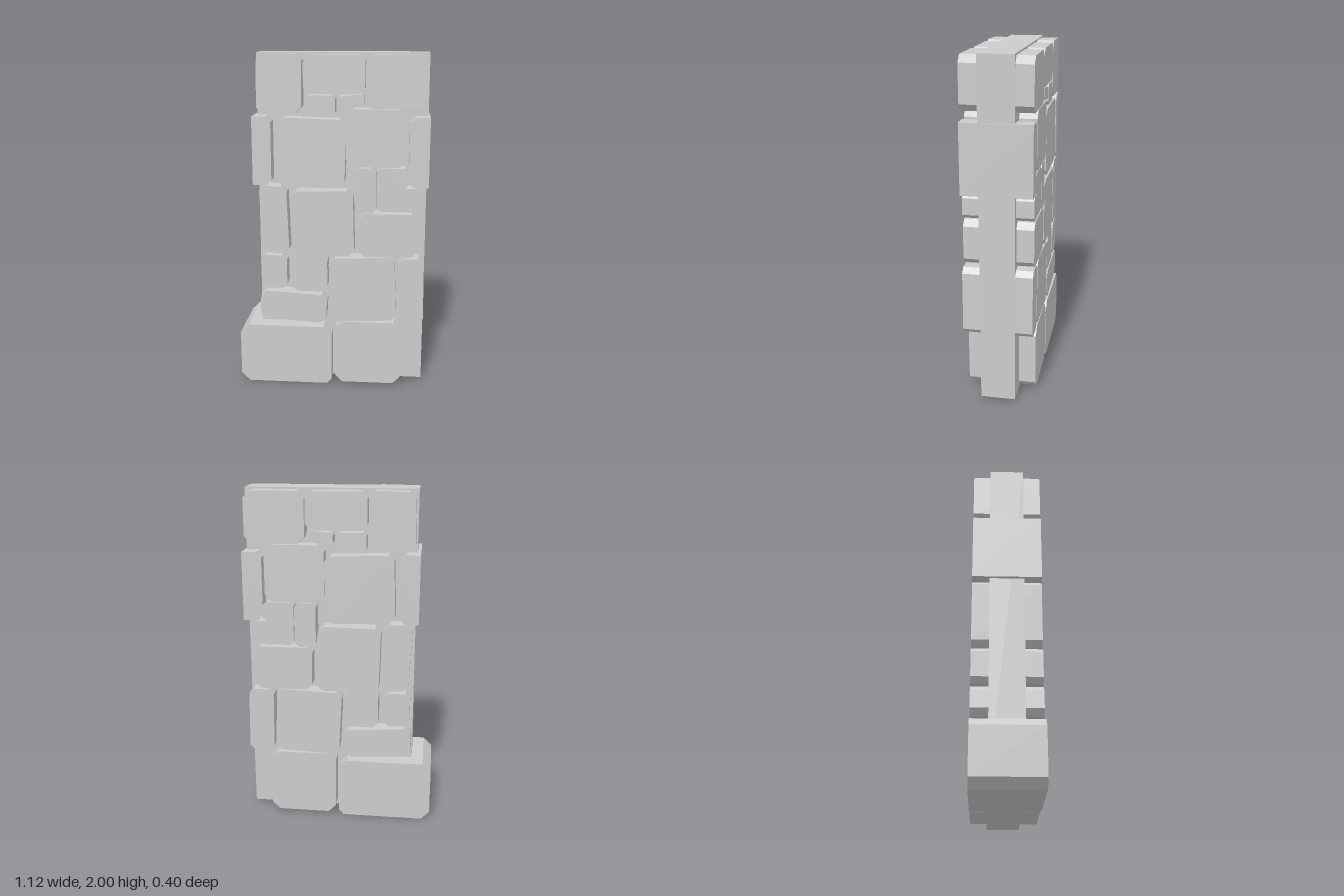
import * as THREE from 'three';

const DEPTH = 0.4;

// One stone: [left, right, bottom, top, chamfer, lean, tilt]
// lean shifts the top sideways, tilt raises the right side.
// chamfer is one size, or sizes for [bottom left, bottom right, top right, top left].
const footing = [
  ['footStone', -0.56, 0, 0, 0.37, [0.05, 0.03, 0.05, 0.05]],
  ['baseStone', 0.02, 0.42, 0.015, 0.41, 0.045],
];
const lowerCourse = [
  ['lowStone', -0.435, -0.035, 0.41, 0.585, 0.035, 0.01, -0.025],
  ['largeStone', 0, 0.39, 0.42, 0.815, 0.035, -0.018, 0.015],
  ['narrowStone', 0.4, 0.55, 0.415, 0.815, 0.03, -0.005],
  ['smallStone', -0.42, -0.265, 0.615, 0.82, 0.028, -0.003],
  ['smallStone', -0.235, -0.025, 0.6, 0.82, 0.03],
];
const middleCourse = [
  ['narrowStone', -0.41, -0.25, 0.835, 1.24, 0.03, -0.015, -0.006],
  ['largeStone', -0.235, 0.135, 0.82, 1.215, 0.035, -0.01, 0.006],
  ['blockStone', 0.16, 0.505, 0.825, 1.085, 0.035],
  ['smallStone', 0.135, 0.26, 1.09, 1.355, 0.025],
  ['smallStone', 0.265, 0.515, 1.1, 1.24, 0.022],
  ['smallStone', 0.265, 0.445, 1.24, 1.355, 0.02],
];
const upperCourse = [
  ['largeStone', -0.325, 0.075, 1.243, 1.635, 0.035, 0.012, -0.013],
  ['blockStone', 0.085, 0.43, 1.36, 1.69, 0.04],
  ['leftQuoin', -0.46, -0.35, 1.245, 1.645, [0, 0.03, 0.03, 0]],
  ['rightQuoin', 0.445, 0.56, 1.245, 1.645, [0.03, 0, 0, 0.03]],
];
const topCourse = [
  ['capStone', -0.43, -0.172, 1.663, 1.993, 0.035, 0.005, 0.004],
  ['capStone', -0.16, 0.19, 1.775, 1.99, 0.035],
  ['capStone', 0.195, 0.54, 1.695, 1.99, 0.04],
  ['chipStone', -0.155, 0.02, 1.65, 1.765, 0.02],
  ['chipStone', 0.033, 0.183, 1.7, 1.768, 0.012, 0, 0.018],
];

// Quadrilateral with its corners cut off, extruded through the wall
function stoneGeometry(x0, x1, y0, y1, chamfer, lean = 0, tilt = 0) {
  const h = tilt / 2;
  const corners = [
    [x0, y0 - h], [x1, y0 + h], [x1 + lean, y1 + h], [x0 + lean, y1 - h],
  ].map(([x, y]) => new THREE.Vector2(x, y));
  const points = [];
  corners.forEach((corner, i) => {
    const cut = Array.isArray(chamfer) ? chamfer[i] : chamfer;
    if (!cut) return points.push(corner);
    for (const neighbour of [corners[(i + 3) % 4], corners[(i + 1) % 4]]) {
      const toward = neighbour.clone().sub(corner).setLength(cut);
      points.push(toward.add(corner));
    }
  });
  const geometry = new THREE.ExtrudeGeometry(new THREE.Shape(points), {
    depth: DEPTH, bevelEnabled: false,
  });
  return geometry.translate(0, 0, -DEPTH / 2);
}

export function createModel() {
  const model = new THREE.Group();
  model.name = 'stoneWall';
  const material = new THREE.MeshStandardMaterial({ color: 0xcccccc, flatShading: true });

  // Flat slab behind the stones
  const core = new THREE.Mesh(new THREE.BoxGeometry(0.99, 1.985, 0.2), material);
  core.name = 'wallCore';
  core.position.set(0.055, 1.0075, 0);
  model.add(core);

  // Courses of stones, showing on both faces of the wall
  const courses = { footing, lowerCourse, middleCourse, upperCourse, topCourse };
  for (const [courseName, stones] of Object.entries(courses)) {
    const course = new THREE.Group();
    course.name = courseName;
    for (const [name, ...size] of stones) {
      const stone = new THREE.Mesh(stoneGeometry(...size), material);
      stone.name = name;
      course.add(stone);
    }
    model.add(course);
  }
  return model;
}
